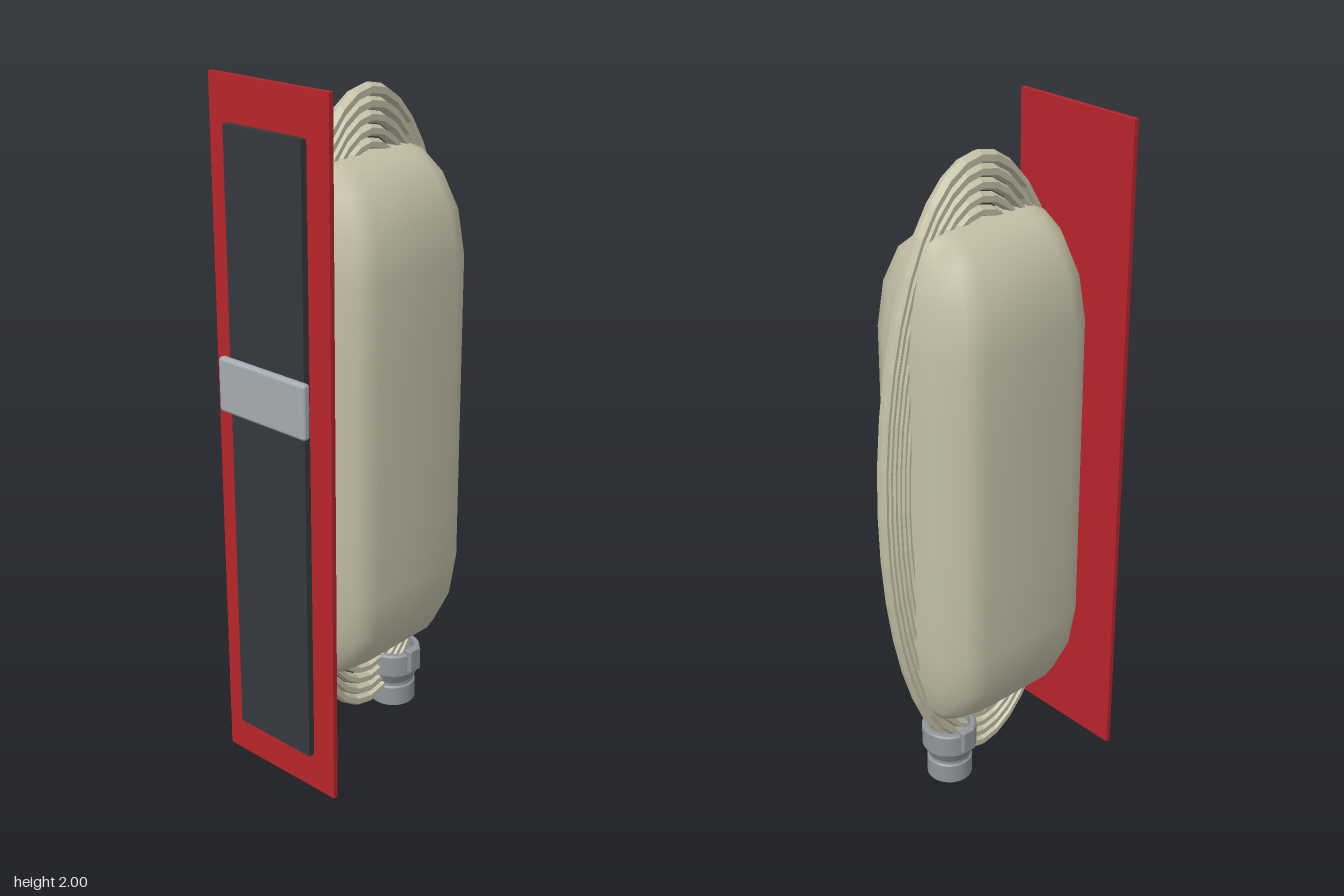
import * as THREE from 'three';
import { RoundedBoxGeometry } from 'three/addons/geometries/RoundedBoxGeometry.js';

const mat = (color, extra = {}) => new THREE.MeshStandardMaterial({ color, ...extra });

// Padded body: one rounded outline, scaled level by level towards a ridge at each end
function bodyGeometry() {
  const quarter = [[0.2, 0], [0.2, 0.155], [0.175, 0.215], [0.1, 0.26], [0, 0.272]];
  const half = [...quarter, ...quarter.slice(0, -1).reverse().map(([x, z]) => [-x, z])];
  const ring = [...half, ...half.slice(1, -1).reverse().map(([x, z]) => [x, -z])];
  // height above the middle, width scale, depth scale
  const upper = [[0.25, 1, 1], [0.46, 1, 1], [0.59, 0.92, 0.94], [0.69, 0.68, 0.85], [0.74, 0.37, 0.74], [0.757, 0.08, 0.6]];
  const levels = [...upper.map(([y, a, b]) => [-y, a, b]).reverse(), ...upper];
  const n = ring.length, pos = [], index = [];
  for (const [y, sx, sz] of levels)
    for (const [x, z] of ring) pos.push(x * sx, y, z * sz);
  for (let i = 0; i < levels.length - 1; i++)
    for (let j = 0; j < n; j++) {
      const a = i * n + j, b = i * n + (j + 1) % n;
      index.push(a, a + n, b, b, a + n, b + n);
    }
  // close both ends
  const bottom = pos.length / 3, top = bottom + 1, last = (levels.length - 1) * n;
  pos.push(0, -0.76, 0, 0, 0.76, 0);
  for (let j = 0; j < n; j++) {
    const k = (j + 1) % n;
    index.push(bottom, j, k, top, last + k, last + j);
  }
  const g = new THREE.BufferGeometry();
  g.setAttribute('position', new THREE.Float32BufferAttribute(pos, 3));
  g.setIndex(index);
  g.computeVertexNormals();
  return g;
}

export function createModel() {
  const model = new THREE.Group();
  const add = (name, geometry, material, x, y, z, parent = model) => {
    const mesh = new THREE.Mesh(geometry, material);
    mesh.name = name;
    mesh.position.set(x, y, z);
    parent.add(mesh);
  };

  // Front panel, dark inset board and pull handle
  add('frontPanel', new THREE.BoxGeometry(0.42, 2, 0.015), mat(0xb8242b), 0, 1, 0.328);
  add('darkBoard', new THREE.BoxGeometry(0.274, 1.76, 0.02), mat(0x34383c), 0, 1, 0.349);
  add('handle', new RoundedBoxGeometry(0.32, 0.156, 0.026, 3, 0.01), mat(0xa4abb0), 0, 1.18, 0.371);

  // Padded body
  const beige = 0xc2bea6;
  add('paddedBody', bodyGeometry(), mat(beige), 0, 1.01, -0.018);

  // Nested oval hose loops
  const hose = new THREE.Group();
  hose.name = 'hoseCoil';
  model.add(hose);
  const hoseMat = mat(beige, { flatShading: true });
  for (let i = 0; i < 7; i++) {
    const g = new THREE.TorusGeometry(1, 0.02, 6, 40).rotateY(Math.PI / 2);
    g.scale(1.15, 0.925 - i * 0.036, 0.346 - i * 0.0155);
    add('hoseLoop', g, hoseMat, 0, 1.005, -0.03, hose);
  }

  // Hollow coupling with two side lugs
  const coupling = new THREE.Group();
  coupling.name = 'coupling';
  coupling.position.set(0, 0, -0.153);
  model.add(coupling);
  const metal = mat(0x8f959a, { side: THREE.DoubleSide });
  const profile = [[0.056, 0.03], [0.068, 0.03], [0.068, 0.09], [0.063, 0.095], [0.063, 0.105], [0.082, 0.14],
    [0.082, 0.205], [0.077, 0.21], [0.064, 0.21], [0.064, 0.13], [0.056, 0.11], [0.056, 0.03]];
  // each inner point is doubled to keep its edge crisp
  const points = profile.flatMap(([r, y], i) => {
    const p = new THREE.Vector2(r, y);
    return i > 0 && i < profile.length - 1 ? [p, p] : [p];
  });
  add('couplingRing', new THREE.LatheGeometry(points, 32), metal, 0, 0, 0, coupling);
  for (const s of [-1, 1])
    add('couplingLug', new RoundedBoxGeometry(0.026, 0.075, 0.046, 2, 0.005), metal, s * 0.08, 0.187, 0, coupling);

  return model;
}
